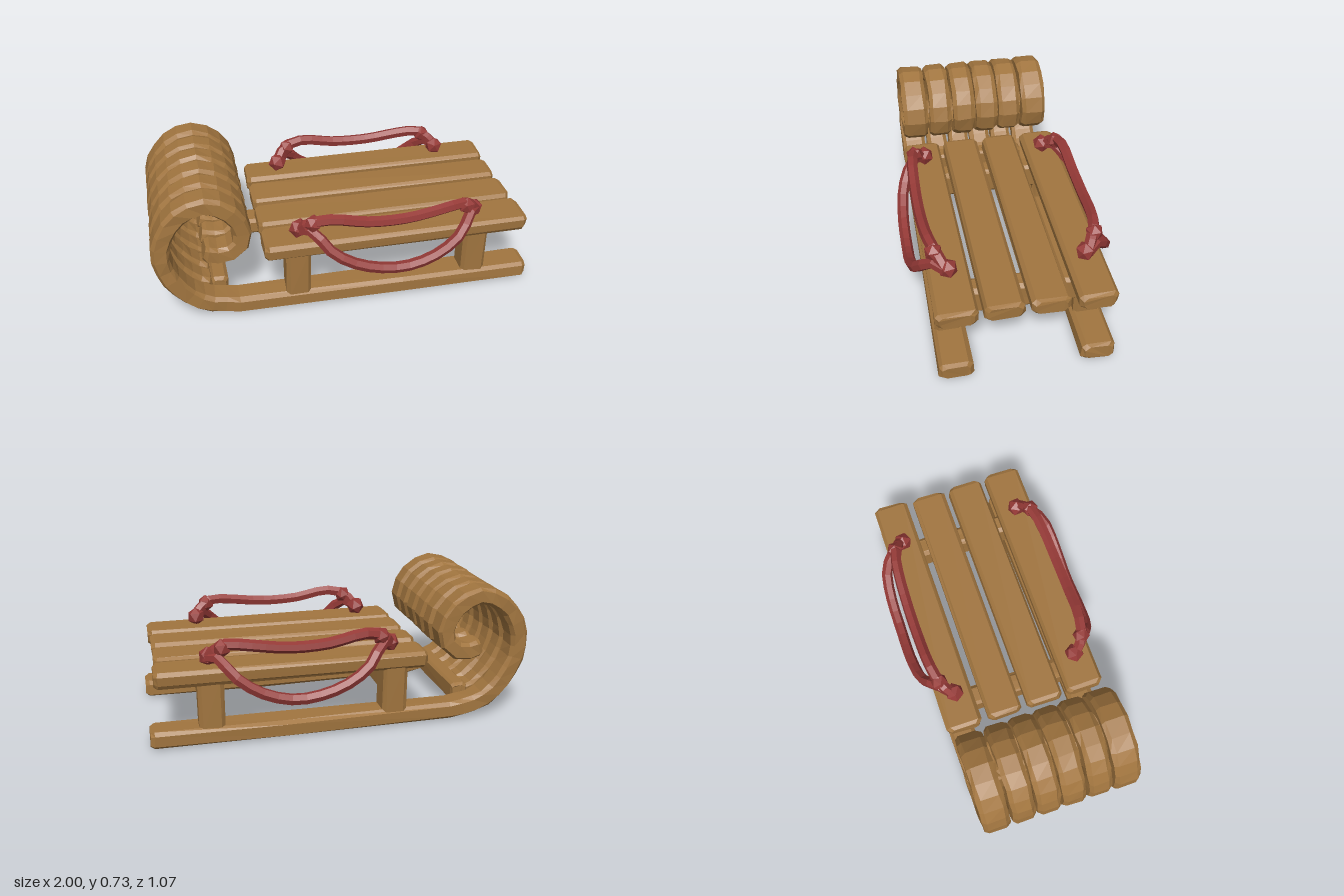
import * as THREE from 'three';

const wood = new THREE.MeshStandardMaterial({ color: 0xa1753f });
wood.name = 'wood';
const rope = new THREE.MeshStandardMaterial({ color: 0x963a37 });
rope.name = 'red rope';

// small seeded wobble for a hand-carved look
let seed = 7;
const wobble = (a) => {
  seed = (seed * 16807) % 2147483647;
  return (seed / 2147483647 - 0.5) * 2 * a;
};

// faceted copy of a geometry
function facet(geo) {
  const g = geo.index ? geo.toNonIndexed() : geo;
  g.computeVertexNormals();
  return g;
}

// sweep a chamfered rectangle along a path of [x, y, halfWidth] in the xy plane
function carve(path, halfThick, cutT, cutW, endCut = 0.02) {
  const dir = (a, b) => new THREE.Vector2(b[0] - a[0], b[1] - a[1]).normalize();
  const last = path.length - 1;
  const rings = [];
  const addRing = (p, t, scale) => {
    const w = p[2] * scale, h = halfThick * scale;
    const s = [[h, -w + cutW], [h, w - cutW], [h - cutT, w], [-h + cutT, w],
      [-h, w - cutW], [-h, -w + cutW], [-h + cutT, -w], [h - cutT, -w]];
    rings.push(s.map(([a, b]) => [
      p[0] - t.y * a + wobble(0.003), p[1] + t.x * a + wobble(0.003), b + wobble(0.004)]));
  };
  path.forEach((p, i) => {
    const t = new THREE.Vector2();
    if (i > 0) t.add(dir(path[i - 1], p));
    if (i < last) t.add(dir(p, path[i + 1]));
    t.normalize();
    const moved = (d) => [p[0] + t.x * d, p[1] + t.y * d, p[2]];
    if (i === 0) { addRing(p, t, 0.8); addRing(moved(endCut), t, 1); }
    else if (i === last) { addRing(moved(-endCut), t, 1); addRing(p, t, 0.8); }
    else addRing(p, t, 1);
  });
  const v = [];
  const n = 8;
  for (let i = 0; i < rings.length - 1; i++) {
    for (let j = 0; j < n; j++) {
      const k = (j + 1) % n;
      const a = rings[i][j], b = rings[i][k], c = rings[i + 1][k], d = rings[i + 1][j];
      v.push(...a, ...b, ...c, ...a, ...c, ...d);
    }
  }
  const first = rings[0], end = rings[rings.length - 1];
  for (let j = 1; j < n - 1; j++) {
    v.push(...first[0], ...first[j + 1], ...first[j], ...end[0], ...end[j], ...end[j + 1]);
  }
  const g = new THREE.BufferGeometry();
  g.setAttribute('position', new THREE.Float32BufferAttribute(v, 3));
  return facet(g);
}

// straight chamfered bar along x
const bar = (length, height, width, cut) =>
  carve([[-length / 2, 0, width / 2], [length / 2, 0, width / 2]], height / 2, cut, cut);

// scroll of the curled front, from the ground to its inner tip
const scroll = new THREE.CatmullRomCurve3([
  [-0.58, 0.058], [-0.76, 0.1], [-0.89, 0.225], [-0.955, 0.4], [-0.915, 0.56], [-0.825, 0.655],
  [-0.71, 0.685], [-0.595, 0.62], [-0.54, 0.51], [-0.565, 0.42], [-0.64, 0.385], [-0.74, 0.405],
].map(([x, y]) => new THREE.Vector3(x, y, 0)));

export function createModel() {
  seed = 7;
  const sled = new THREE.Group();
  sled.name = 'sled';
  const add = (name, geo, mat, x = 0, y = 0, z = 0, parent = sled) => {
    const m = new THREE.Mesh(geo, mat);
    m.name = name;
    m.position.set(x, y, z);
    parent.add(m);
    return m;
  };
  const scrollPath = (from, halfWidth) => scroll.getSpacedPoints(22)
    .slice(from).map((p) => [p.x, p.y, halfWidth]);

  for (const s of [1, -1]) {
    const side = s > 0 ? 'front' : 'back';
    // runner with its curled end
    const path = [[0.997, 0.055, 0.085], [0.3, 0.053, 0.08], ...scrollPath(0, 0.07)];
    add(side + 'Runner', carve(path, 0.046, 0.016, 0.022), wood, 0, 0, s * 0.352);
    // posts between runner and seat
    for (const x of [-0.265, 0.69]) {
      add(side + 'Post', bar(0.3, 0.13, 0.135, 0.018), wood, x, 0.215, s * 0.355)
        .rotation.z = Math.PI / 2;
    }
  }

  // inner curled planks
  for (const z of [-0.205, -0.07, 0.065, 0.205]) {
    add('curledPlank', carve(scrollPath(2, 0.062), 0.045, 0.016, 0.022), wood, 0, 0, z);
  }

  // crossbars under the seat and behind the curl
  for (const x of [-0.26, 0.69]) {
    add('crossbar', bar(0.62, 0.15, 0.11, 0.02), wood, x, 0.25, 0).rotation.y = Math.PI / 2;
  }
  add('curlCrossbar', bar(0.6, 0.11, 0.09, 0.015), wood, -0.67, 0.11, 0).rotation.y = Math.PI / 2;

  // seat slats: centre z, width, right end
  for (const [z, width, end] of [[-0.343, 0.19, 0.965], [-0.115, 0.19, 0.955],
    [0.11, 0.2, 0.955], [0.337, 0.205, 0.965]]) {
    const geo = bar(end + 0.437, 0.085, width, 0.018);
    add('seatSlat', geo, wood, (end - 0.437) / 2, 0.37, z);
  }

  // rope handles: an upper strand, a hanging strand and knots
  const upper = [[-0.25, 0.45, 0.35], [-0.2, 0.51, 0.395], [-0.1, 0.535, 0.42], [0.1, 0.5, 0.43],
    [0.3, 0.495, 0.43], [0.5, 0.52, 0.42], [0.61, 0.525, 0.4], [0.7, 0.45, 0.35]];
  const lower = [[-0.25, 0.45, 0.35], [-0.19, 0.47, 0.41], [-0.1, 0.37, 0.475], [0.05, 0.285, 0.5],
    [0.27, 0.245, 0.503], [0.45, 0.295, 0.5], [0.58, 0.385, 0.475], [0.645, 0.46, 0.41],
    [0.7, 0.45, 0.35]];
  for (const s of [1, -1]) {
    const handle = new THREE.Group();
    handle.name = s > 0 ? 'frontRope' : 'backRope';
    const strand = (pts) => {
      const c = new THREE.CatmullRomCurve3(pts.map(([x, y, z]) => new THREE.Vector3(x, y, s * z)));
      return facet(new THREE.TubeGeometry(c, 16, 0.03, 6));
    };
    add('upperStrand', strand(upper), rope, 0, 0, 0, handle);
    add('hangingStrand', strand(lower), rope, 0, 0, 0, handle);
    for (const [x, y, z, r] of [[-0.25, 0.452, 0.34, 0.052], [0.69, 0.452, 0.34, 0.05],
      [-0.185, 0.51, 0.4, 0.047], [0.625, 0.51, 0.4, 0.047]]) {
      const knot = add('knot', facet(new THREE.IcosahedronGeometry(r, 0)), rope, x, y, s * z, handle);
      knot.rotation.set(0.4, x * 2, 0.2);
    }
    sled.add(handle);
  }
  return sled;
}
